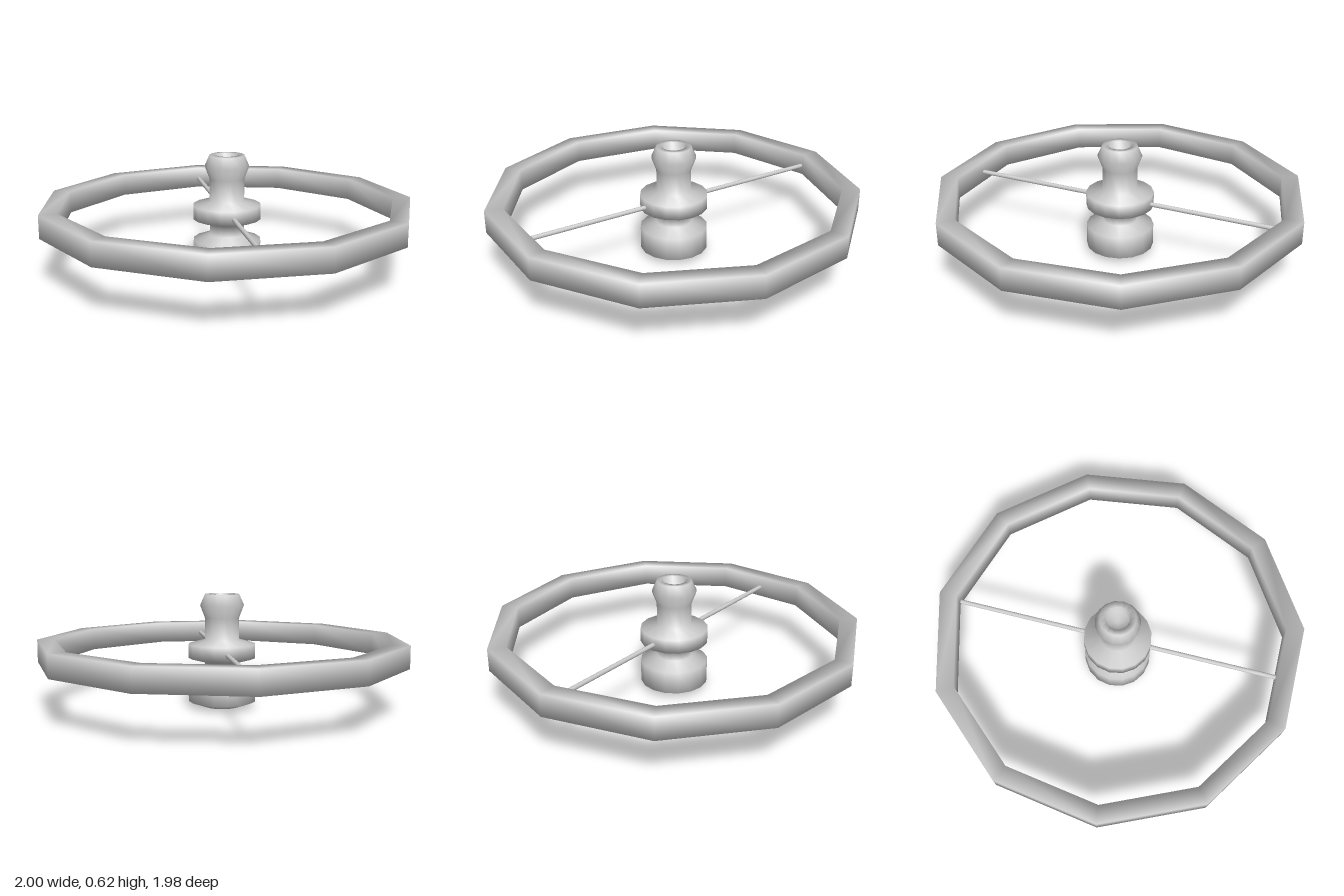
import * as THREE from 'three';
import { mergeVertices } from 'three/addons/utils/BufferGeometryUtils.js';

const CENTRE_Z = 0.02;
const RING_Y = 0.313;

// Lathe with normals smoothed over the whole surface
function turned(points, segments, phase = 0) {
  let geometry = new THREE.LatheGeometry(
    points.map(([r, y]) => new THREE.Vector2(r, y)), segments, phase);
  geometry.deleteAttribute('normal');
  geometry.deleteAttribute('uv');
  geometry = mergeVertices(geometry, 1e-4);
  geometry.computeVertexNormals();
  return geometry;
}

export function createModel() {
  const model = new THREE.Group();
  model.name = 'spokedRing';
  const material = new THREE.MeshStandardMaterial({ color: 0xcccccc });

  const add = (name, geometry) => {
    const mesh = new THREE.Mesh(geometry, material);
    mesh.name = name;
    mesh.position.z = CENTRE_Z;
    model.add(mesh);
    return mesh;
  };

  // Eleven-sided rim with a rectangular section, one corner at the back
  const outer = 1.01, inner = 0.913, low = 0.252, high = 0.375;
  add('rim', turned(
    [[inner, low], [outer, low], [outer, high], [inner, high], [inner, low]], 11, Math.PI));

  // Turned hub: foot, collar, neck and flared head with a socket
  add('hub', turned([
    [0, 0], [0.095, 0.003], [0.185, 0.035], [0.185, 0.157], [0.095, 0.187],
    [0.095, 0.25], [0.185, 0.275], [0.185, 0.35], [0.095, 0.375],
    [0.095, 0.495], [0.121, 0.563], [0.095, 0.622],
    [0.062, 0.622], [0.062, 0.56], [0, 0.56],
  ], 16));

  // Two thin spokes, front and back
  for (const [name, side] of [['frontSpoke', 1], ['backSpoke', -1]]) {
    const length = 0.78;
    const rod = new THREE.CylinderGeometry(0.0125, 0.0125, length, 8);
    rod.rotateX(Math.PI / 2);
    rod.translate(0, RING_Y - 0.005, side * (0.12 + length / 2));
    add(name, rod);
  }

  return model;
}
